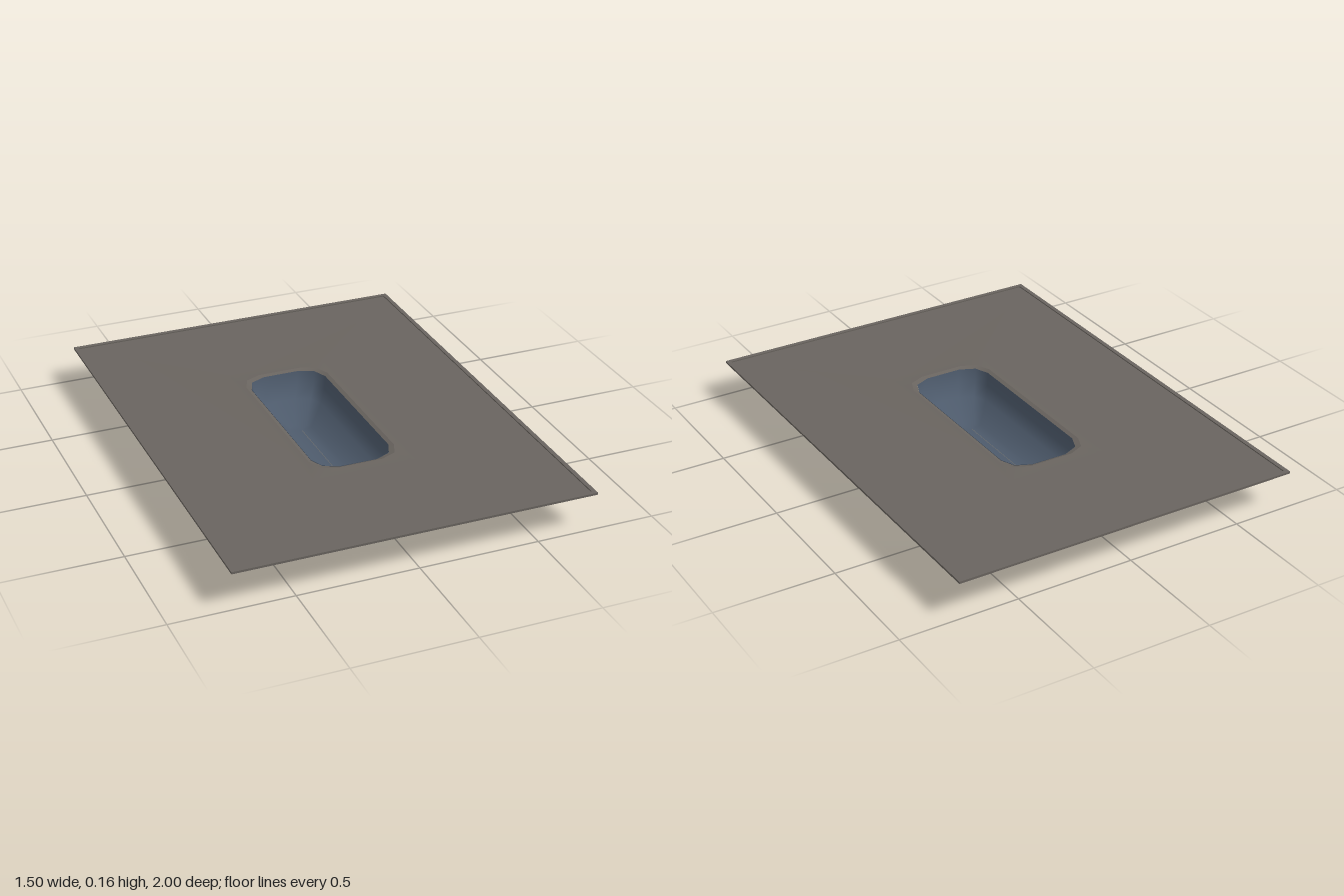
import * as THREE from 'three';

// Rounded-rectangle ring of 12 points, anticlockwise seen from above.
function ring([hx, hz, y, c]) {
  const quarter = [[hx, hz - c], [hx - 0.28 * c, hz - 0.32 * c], [hx - c, hz]];
  const signs = [[1, -1], [-1, -1], [-1, 1], [1, 1]];
  return signs.flatMap(([sx, sz], i) => {
    const corner = quarter.map(([x, z]) => [sx * x, y, sz * z]);
    return i % 2 ? corner.reverse() : corner;
  });
}

// Smooth skin through rings listed from the outside in; it faces up.
function loft(rings) {
  const n = 12;
  const index = [];
  for (let r = 0; r < rings.length - 1; r++) {
    for (let j = 0; j < n; j++) {
      const a = r * n + j, b = r * n + (j + 1) % n;
      index.push(a, b, b + n, a, b + n, a + n);
    }
  }
  const geometry = new THREE.BufferGeometry();
  geometry.setAttribute('position', new THREE.Float32BufferAttribute(rings.flatMap(ring).flat(), 3));
  geometry.setIndex(index);
  geometry.computeVertexNormals();
  return geometry;
}

function rectangle(target, hx, hz) {
  target.moveTo(-hx, -hz);
  target.lineTo(hx, -hz);
  target.lineTo(hx, hz);
  target.lineTo(-hx, hz);
  target.closePath();
  return target;
}

export function createModel() {
  const stone = new THREE.MeshStandardMaterial({ color: 0x69645f, side: THREE.DoubleSide });
  stone.name = 'warm grey';
  const basinBlue = new THREE.MeshStandardMaterial({ color: 0x4d5a6b, side: THREE.DoubleSide });
  basinBlue.name = 'slate blue';

  const group = new THREE.Group();
  const add = (name, geometry, material) => {
    const mesh = new THREE.Mesh(geometry, material);
    mesh.name = name;
    group.add(mesh);
    return mesh;
  };

  // Each ring: half width, half length, height, corner cut
  add('slab', loft([
    [0.735, 0.985, 0.156, 0.002],
    [0.22, 0.49, 0.156, 0.01],
    [0.185, 0.437, 0.16, 0.09],
  ]), stone);

  // Inner slope of the raised lip
  add('lip', loft([
    [0.185, 0.437, 0.16, 0.09],
    [0.168, 0.42, 0.153, 0.09],
  ]), stone);

  // Hollow basin, open at the top
  add('basin', loft([
    [0.168, 0.42, 0.155, 0.09],
    [0.16, 0.41, 0.1, 0.09],
    [0.13, 0.37, 0.052, 0.085],
    [0.05, 0.235, 0, 0.04],
    [0.001, 0.18, 0, 0.001],
  ]), basinBlue);

  // Narrow raised border round the slab
  const outline = rectangle(new THREE.Shape(), 0.75, 1);
  outline.holes.push(rectangle(new THREE.Path(), 0.732, 0.982));
  const border = add('border', new THREE.ExtrudeGeometry(outline, { depth: 0.009, bevelEnabled: false }), stone);
  border.rotation.x = -Math.PI / 2;
  border.position.y = 0.152;

  return group;
}
